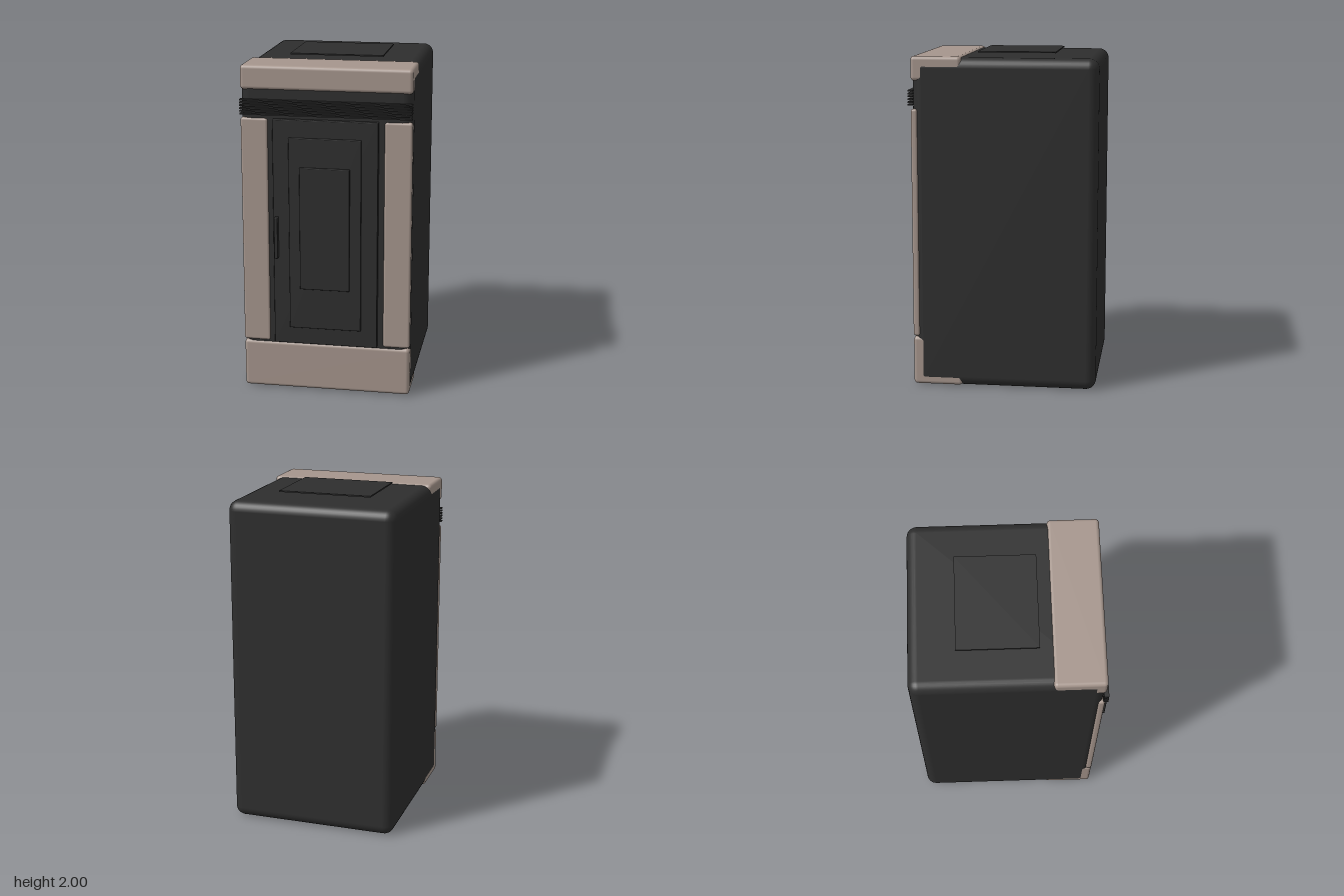
import * as THREE from 'three';
import { RoundedBoxGeometry } from 'three/addons/geometries/RoundedBoxGeometry.js';

export function createModel() {
  const group = new THREE.Group();
  const dark = new THREE.MeshStandardMaterial({ color: 0x2e2e2e });
  dark.name = 'charcoal';
  const beige = new THREE.MeshStandardMaterial({ color: 0xa6968d });
  beige.name = 'warmBeige';

  // Box given by its limits on each axis, with rounded edges
  function block(name, material, [x0, x1], [y0, y1], [z0, z1], radius) {
    const size = [x1 - x0, y1 - y0, z1 - z0];
    const geometry = radius
      ? new RoundedBoxGeometry(...size, 4, radius)
      : new THREE.BoxGeometry(...size);
    const mesh = new THREE.Mesh(geometry, material);
    mesh.name = name;
    mesh.position.set((x0 + x1) / 2, (y0 + y1) / 2, (z0 + z1) / 2);
    group.add(mesh);
  }

  // Cabinet and the thin plate hovering over its top
  block('cabinetBody', dark, [-0.505, 0.505], [0, 1.975], [-0.58, 0.51], 0.06);
  block('topPlate', dark, [-0.28, 0.28], [1.992, 2], [-0.312, 0.152]);

  // Front surround: header, base and two side pillars
  block('headerTrim', beige, [-0.504, 0.504], [1.84, 1.983], [0.22, 0.518], 0.022);
  block('baseTrim', beige, [-0.504, 0.504], [0.005, 0.3], [0.22, 0.518], 0.022);
  block('leftPillar', beige, [0.342, 0.504], [0.305, 1.676], [0.478, 0.518], 0.015);
  block('rightPillar', beige, [-0.504, -0.342], [0.305, 1.676], [0.478, 0.518], 0.015);

  // Door with two stepped panels and a handle
  block('door', dark, [-0.31, 0.31], [0.306, 1.676], [0.5, 0.541], 0.004);
  block('outerPanel', dark, [-0.214, 0.214], [0.41, 1.572], [0.53, 0.553], 0.004);
  block('innerPanel', dark, [-0.148, 0.148], [0.66, 1.4], [0.54, 0.567], 0.004);
  block('doorHandle', dark, [-0.299, -0.277], [0.845, 1.098], [0.544, 0.58], 0.005);

  // Ventilation slats under the header
  for (let i = 0; i < 6; i++) {
    const y = 1.7 + i * 0.0165;
    block('ventSlat', dark, [-0.504, 0.504], [y - 0.004, y + 0.004], [0.505, 0.533]);
  }
  return group;
}
